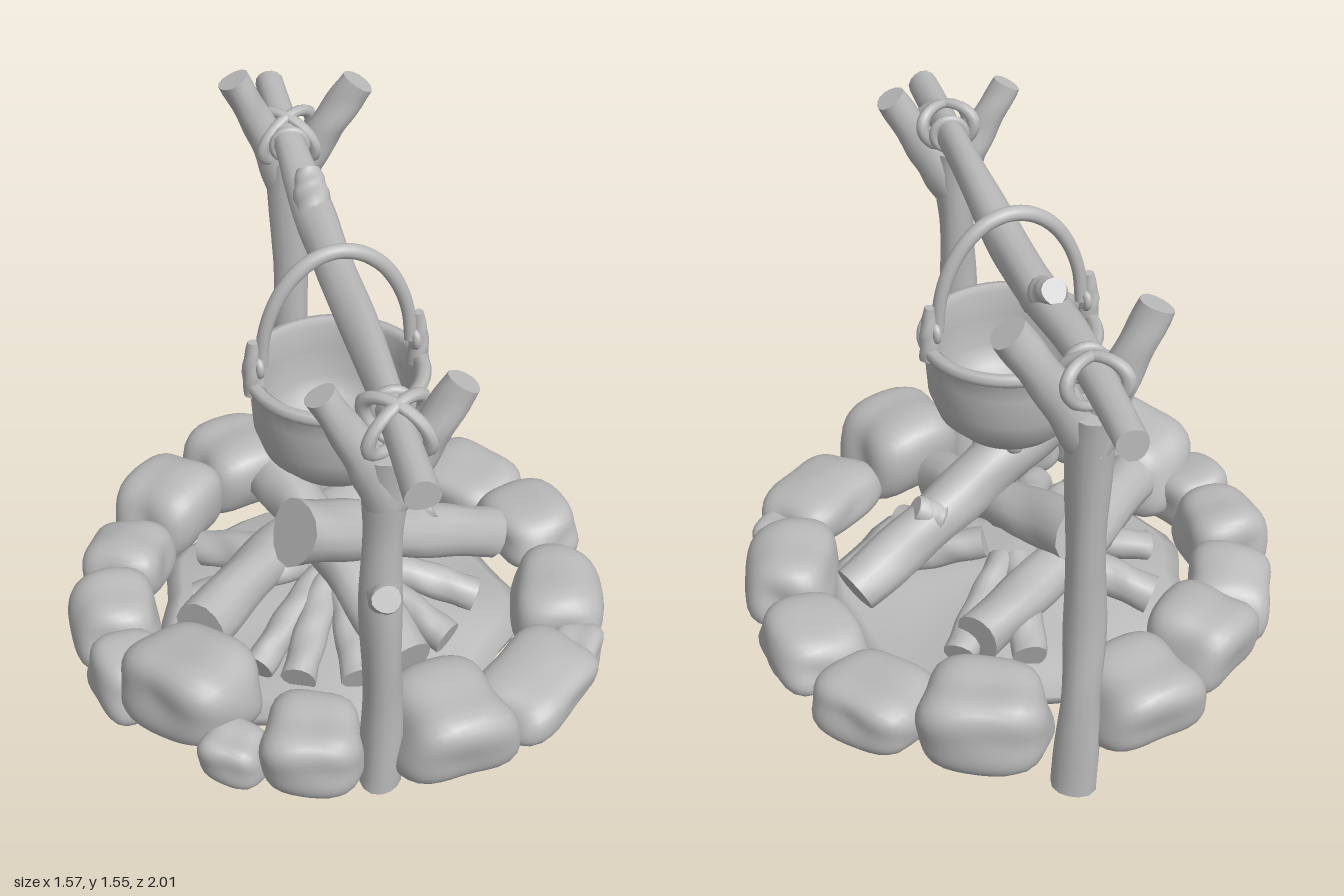
import * as THREE from 'three';
import { mergeVertices } from 'three/addons/utils/BufferGeometryUtils.js';

const V = (a) => new THREE.Vector3(...a);

export function createModel() {
  const model = new THREE.Group();
  const grey = new THREE.MeshStandardMaterial({ color: 0xbababa });
  grey.name = 'clay grey';

  function add(geometry, name, parent = model) {
    const mesh = new THREE.Mesh(geometry, grey);
    mesh.name = name;
    parent.add(mesh);
    return mesh;
  }

  function group(name) {
    const g = new THREE.Group();
    g.name = name;
    model.add(g);
    return g;
  }

  // Moves every vertex by a rule, then gives smooth normals without seams
  function shape(geo, rule, keepEdges = false) {
    geo.deleteAttribute('uv');
    if (!keepEdges) geo.deleteAttribute('normal');
    geo = mergeVertices(geo, 1e-4);
    const p = geo.attributes.position, v = new THREE.Vector3();
    for (let i = 0; i < p.count; i++) {
      rule(v.fromBufferAttribute(p, i));
      p.setXYZ(i, v.x, v.y, v.z);
    }
    geo.computeVertexNormals();
    return geo;
  }

  // Knobbly round wood following points, with one radius per point and flat ends
  let seed = 0;
  function limb(points, radii, name, parent, bumps = 0.07) {
    const curve = new THREE.CatmullRomCurve3(points.map(V));
    const n = points.length * 5, k = ++seed * 1.7;
    const frames = curve.computeFrenetFrames(n, false);
    const geo = shape(new THREE.CylinderGeometry(1, 1, 1, 14, n), (v) => {
      const t = THREE.MathUtils.clamp(v.y + 0.5, 0, 1), i = Math.round(t * n);
      const f = t * (radii.length - 1), j = Math.min(Math.floor(f), radii.length - 2);
      const a = Math.atan2(v.z, v.x);
      let r = THREE.MathUtils.lerp(radii[j], radii[j + 1], f - j);
      r *= 1 + bumps * (Math.sin(3 * a + k + t * 4) * 0.7 + Math.sin(t * 17 + k + 2 * a) * 0.6);
      const N = frames.normals[i], B = N.clone().cross(frames.tangents[i]);
      const { x, z } = v;
      v.copy(curve.getPoint(t)).addScaledVector(N, x * r).addScaledVector(B, z * r);
    }, true);
    return add(geo, name, parent);
  }

  // Bed of earth, a shallow lens
  const bedProfile = [[0, 0.025], [0.25, 0.03], [0.42, 0.055], [0.51, 0.09], [0.53, 0.13],
    [0.48, 0.17], [0.32, 0.18], [0.15, 0.21], [0, 0.22]].map((p) => new THREE.Vector2(...p));
  const bed = add(shape(new THREE.LatheGeometry(bedProfile, 40), (v) => {
    const a = Math.atan2(v.z, v.x), r = Math.hypot(v.x, v.z);
    const s = 1 + 0.035 * Math.sin(5 * a + 1) + 0.025 * Math.sin(9 * a);
    v.x *= s;
    v.z *= s;
    v.y += r * 0.04 * Math.sin(4 * a + 0.5) * (v.y < 0.1 ? 0.6 : 1);
  }), 'earthBed');
  bed.position.z = 0.02;

  // Ring of stones: x, z, half width, half depth, bottom, top
  const stones = [
    [-0.23, -0.61, 0.155, 0.14, 0.11, 0.34], [0.20, -0.62, 0.18, 0.14, 0.1, 0.36],
    [0.47, -0.46, 0.16, 0.14, 0.1, 0.28], [0.62, -0.21, 0.15, 0.13, 0.14, 0.31],
    [0.64, 0.13, 0.17, 0.125, 0.1, 0.31], [0.51, 0.47, 0.18, 0.13, 0.12, 0.28],
    [0.23, 0.65, 0.165, 0.15, 0.12, 0.38], [-0.14, 0.67, 0.14, 0.13, 0.12, 0.34],
    [-0.45, 0.43, 0.18, 0.15, 0.14, 0.40], [-0.615, 0.29, 0.12, 0.11, 0.1, 0.29],
    [-0.65, 0.07, 0.135, 0.12, 0.11, 0.32], [-0.6, -0.2, 0.13, 0.12, 0.1, 0.3],
    [-0.455, -0.42, 0.15, 0.13, 0.11, 0.35], [-0.35, 0.64, 0.09, 0.08, 0.12, 0.27],
    [0.65, 0.34, 0.09, 0.075, 0.1, 0.24], [0.67, -0.12, 0.12, 0.08, 0.09, 0.19],
    [-0.65, -0.13, 0.1, 0.07, 0.1, 0.2],
  ];
  const ring = group('stoneRing');
  stones.forEach(([x, z, w, d, y0, y1], k) => {
    const geo = shape(new THREE.IcosahedronGeometry(1, 7), (v) => {
      const m = Math.pow(Math.abs(v.x) ** 3.6 + Math.abs(v.y) ** 3.6 + Math.abs(v.z) ** 3.6, -1 / 3.6);
      const { x: a, y: b, z: c } = v;
      v.multiplyScalar(m * (1 + 0.05 * Math.sin(3 * a + 2 * b + k * 2.1) + 0.05 * Math.sin(4 * c - 3 * b + k)));
      v.x *= 1 - 0.1 * v.y;
      v.y += 0.1 * v.x * Math.sin(k * 1.9);
      v.set(v.x * w, v.y * (y1 - y0) / 2, v.z * d);
    });
    const stone = add(geo, 'stone', ring);
    stone.position.set(x, (y0 + y1) / 2, z);
    stone.rotation.y = Math.atan2(x, z);
  });

  // Firewood: three large logs and a fan of small sticks
  const fire = group('firewood');
  limb([[-0.14, 0.6, 0.22], [0.16, 0.45, 0.06], [0.48, 0.29, -0.1]], [0.095, 0.08, 0.075], 'leaningLog', fire);
  limb([[0.22, 0.44, 0], [0.285, 0.48, 0]], [0.055, 0.035], 'logKnot', fire);
  limb([[-0.15, 0.48, -0.21], [0.01, 0.38, 0.1], [0.15, 0.27, 0.42]], [0.085, 0.075, 0.08], 'crossLog', fire);
  limb([[0.17, 0.28, -0.36], [-0.13, 0.31, -0.1], [-0.41, 0.31, 0.25]], [0.07, 0.075, 0.08], 'lowLog', fire);
  const sticks = [[-0.37, -0.2, 0.055], [0.02, 0.42, 0.05], [-0.15, 0.4, 0.05], [-0.26, 0.34, 0.045],
    [0.29, 0.28, 0.05], [0.22, -0.36, 0.05], [0.03, -0.4, 0.05], [0.4, 0.1, 0.05], [-0.41, 0.02, 0.045]];
  for (const [x, z, r] of sticks) {
    limb([[x * 0.2, 0.31, z * 0.2], [x * 0.6, 0.27, z * 0.6], [x, 0.22, z]], [r * 0.9, r, r], 'stick', fire);
  }

  // Front forked post
  const front = group('frontPost');
  limb([[0.035, 0.12, 0.705], [0.04, 0.4, 0.715], [0.03, 0.75, 0.73], [0.035, 1, 0.715], [0.04, 1.24, 0.72]],
    [0.06, 0.053, 0.055, 0.052, 0.065], 'frontTrunk', front);
  limb([[0.035, 1.1, 0.72], [-0.03, 1.25, 0.73], [-0.125, 1.425, 0.735]], [0.055, 0.05, 0.04], 'frontForkRight', front);
  limb([[0.045, 1.1, 0.72], [0.12, 1.24, 0.72], [0.222, 1.42, 0.71]], [0.055, 0.053, 0.045], 'frontForkLeft', front);
  limb([[0.03, 0.8, 0.73], [0.03, 0.855, 0.82]], [0.052, 0.036], 'frontKnot', front);

  // Back forked post
  const back = group('backPost');
  limb([[-0.035, 0, -0.68], [-0.045, 0.3, -0.69], [-0.055, 0.55, -0.675], [-0.05, 0.9, -0.69], [-0.055, 1.26, -0.71]],
    [0.064, 0.054, 0.056, 0.053, 0.065], 'backTrunk', back);
  limb([[-0.055, 1.14, -0.705], [-0.12, 1.33, -0.7], [-0.208, 1.525, -0.69]], [0.055, 0.05, 0.045], 'backForkRight', back);
  limb([[-0.055, 1.14, -0.705], [0.04, 1.32, -0.7], [0.152, 1.495, -0.7]], [0.055, 0.052, 0.05], 'backForkLeft', back);

  // Crossbar with a knot
  const bar = group('crossbar');
  limb([[0.08, 1.315, 1], [0.06, 1.32, 0.7], [0.03, 1.315, 0.3], [0.005, 1.297, 0], [-0.02, 1.305, -0.25],
    [-0.05, 1.342, -0.55], [-0.08, 1.352, -1]], [0.043, 0.042, 0.05, 0.055, 0.058, 0.046, 0.042], 'beam', bar);
  limb([[-0.02, 1.3, -0.25], [-0.025, 1.35, -0.33], [-0.03, 1.395, -0.38]], [0.055, 0.05, 0.034], 'beamKnot', bar);

  // Rope lashings crossing diagonally over each fork
  const ropes = group('lashings');
  for (const [x, y, z] of [[0.06, 1.315, 0.72], [-0.055, 1.335, -0.7]]) {
    for (const s of [-1, 1]) {
      const loop = add(new THREE.TorusGeometry(0.08, 0.017, 8, 28), 'lashing', ropes);
      loop.position.set(x, y, z);
      loop.scale.set(1.2, 0.8, 1);
      loop.rotation.set(0.15, s * 0.65, s * 0.25);
    }
    const wrap = add(new THREE.TorusGeometry(0.046, 0.014, 8, 24), 'beamWrap', ropes);
    wrap.position.set(x, y + 0.004, z - Math.sign(z) * 0.07);
  }

  // Open cauldron with rolled rim
  const pot = group('cauldron');
  const potProfile = [[0, 0.7], [0.08, 0.7], [0.15, 0.725], [0.205, 0.78], [0.23, 0.85], [0.236, 0.94], [0.235, 0.99],
    [0.252, 0.998], [0.258, 1.013], [0.25, 1.028], [0.232, 1.03], [0.215, 1.015], [0.213, 0.94], [0.205, 0.85],
    [0.18, 0.79], [0.12, 0.745], [0, 0.73]].map((p) => new THREE.Vector2(...p));
  add(shape(new THREE.LatheGeometry(potProfile, 48), () => {}), 'cauldronBody', pot);
  for (let i = 0; i < 3; i++) {
    const a = i * 2.094 + 2.9;
    const foot = add(new THREE.SphereGeometry(0.028, 12, 8), 'cauldronFoot', pot);
    foot.position.set(0.1 * Math.cos(a), 0.708, 0.1 * Math.sin(a));
  }

  // Lugs and arched bail handle
  for (const s of [-1, 1]) {
    limb([[s * 0.233, 0.99, 0], [s * 0.238, 1.07, 0], [s * 0.234, 1.15, 0]], [0.031, 0.026, 0.014], 'lug', pot);
    const eye = add(new THREE.TorusGeometry(0.024, 0.012, 8, 18), 'lugRing', pot);
    eye.position.set(s * 0.222, 1.07, 0);
    eye.rotation.y = Math.PI / 2;
  }
  const arch = [];
  for (let i = 0; i <= 10; i++) {
    const a = Math.PI * i / 10;
    arch.push([-0.212 * Math.cos(a), 1.07 + 0.315 * Math.sin(a), 0]);
  }
  limb(arch, [0.018, 0.021, 0.021, 0.018], 'handle', pot, 0.04);
  pot.rotation.y = 0.2;
  pot.position.z = 0.04;

  return model;
}
